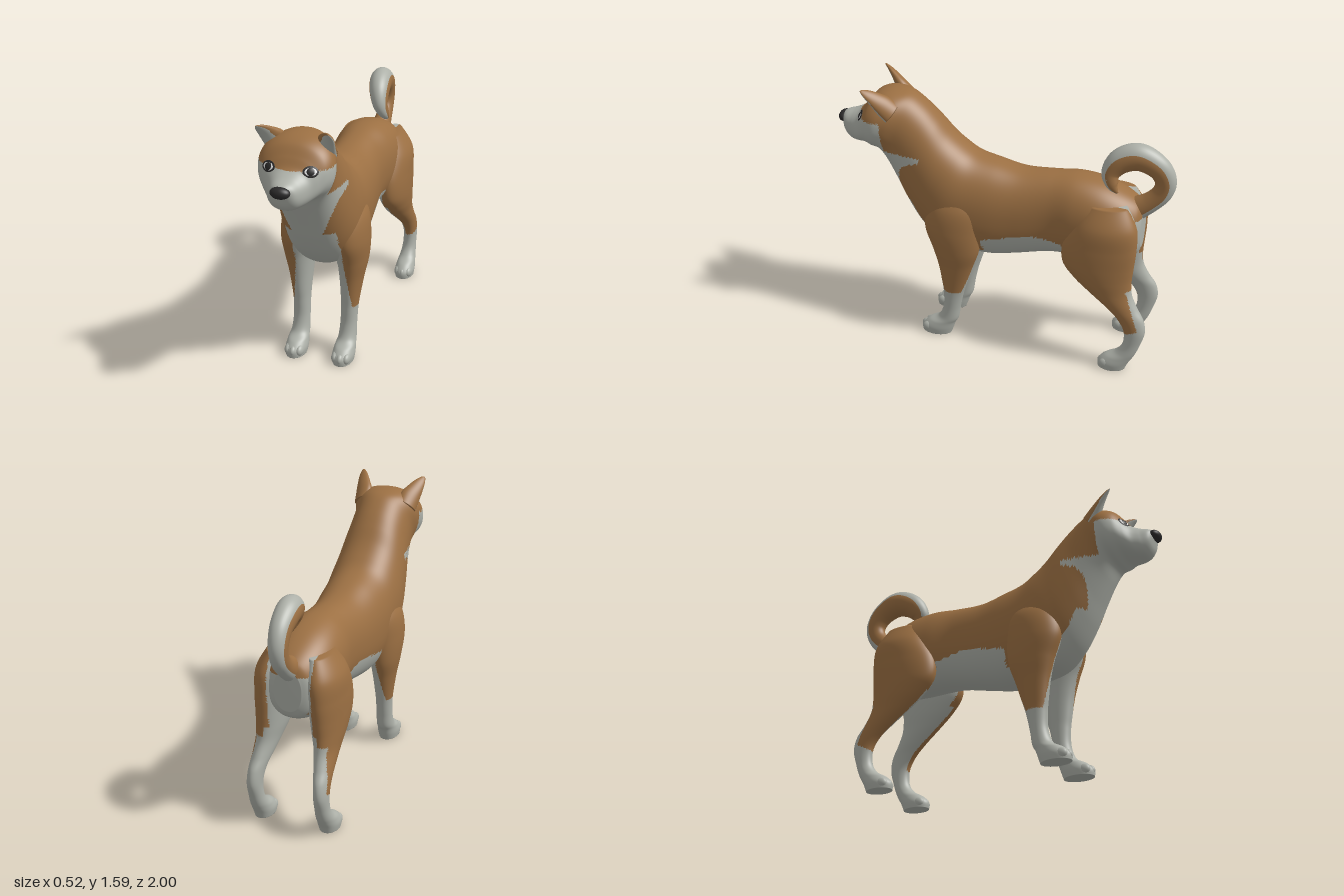
import * as THREE from 'three';

const mat = (name, color) => Object.assign(new THREE.MeshStandardMaterial({ color }), { name });
const V = (x, y, z) => new THREE.Vector3(x, y, z);

// Catmull-Rom interpolation of every column of a table of sections
function rowAt(rows, t) {
  const f = t * (rows.length - 1), i = Math.min(Math.floor(f), rows.length - 2), k = f - i;
  const r = (j) => rows[Math.max(0, Math.min(rows.length - 1, j))];
  return rows[i].map((_, q) => {
    const a = r(i - 1)[q], b = r(i)[q], c = r(i + 1)[q], d = r(i + 2)[q];
    return b + 0.5 * k * (c - a + k * (2 * a - 5 * b + 4 * c - d + k * (3 * (b - c) + d - a)));
  });
}

// Closed skin over cross-sections; frame(row, t) gives centre and two half axes,
// paint(point, normal) gives the material index of each face
function loft(name, rows, frame, n, m, mats, paint, full = 1) {
  const pos = [], tris = [];
  const bend = (x) => Math.sign(x) * Math.abs(x) ** full;
  for (let i = 0; i <= n; i++) {
    const [c, u, v] = frame(rowAt(rows, i / n), i / n);
    for (let j = 0; j < m; j++) {
      const a = (j / m) * Math.PI * 2;
      pos.push(c.clone().addScaledVector(u, bend(Math.cos(a))).addScaledVector(v, bend(Math.sin(a))));
    }
  }
  for (let i = 0; i < n; i++) for (let j = 0; j < m; j++) {
    const a = i * m + j, b = i * m + (j + 1) % m;
    tris.push([a, b, a + m], [b, b + m, a + m]);
  }
  for (const i of [0, n]) {
    const mid = V(0, 0, 0), c = pos.length;
    for (let j = 0; j < m; j++) mid.addScaledVector(pos[i * m + j], 1 / m);
    pos.push(mid);
    for (let j = 0; j < m; j++) {
      const a = i * m + j, b = i * m + (j + 1) % m;
      tris.push(i ? [a, b, c] : [b, a, c]);
    }
  }
  // turn the skin outwards if the axes were left-handed
  let volume = 0;
  for (const [a, b, c] of tris) volume += pos[a].dot(pos[b].clone().cross(pos[c]));
  const sets = mats.map(() => []);
  for (const [a, b, c] of tris) {
    const f = volume < 0 ? [a, c, b] : [a, b, c];
    const [p, q, r] = f.map((k) => pos[k]);
    const normal = q.clone().sub(p).cross(r.clone().sub(p)).normalize();
    sets[paint(p.clone().add(q).add(r).divideScalar(3), normal)].push(...f);
  }
  const g = new THREE.BufferGeometry().setFromPoints(pos);
  g.setIndex(sets.flat());
  let start = 0;
  sets.forEach((s, k) => { g.addGroup(start, s.length, k); start += s.length; });
  g.computeVertexNormals();
  const mesh = new THREE.Mesh(g, mats);
  mesh.name = name;
  return mesh;
}

export function createModel() {
  const dog = new THREE.Group();
  dog.name = 'dog';
  const tan = mat('tan coat', 0x9c7043), pale = mat('pale coat', 0xaeb1a9);
  const dark = mat('dark nose and eyes', 0x2b2a2a), white = mat('eye white', 0xf2f2f2);
  const coat = [tan, pale];

  // Torso, neck and head: top z, top y, bottom z, bottom y, half width
  const spine = [
    [-0.83, 0.98, -0.83, 0.74, 0.08], [-0.8, 1.03, -0.8, 0.69, 0.13], [-0.71, 1.085, -0.71, 0.65, 0.18],
    [-0.59, 1.13, -0.58, 0.64, 0.2], [-0.45, 1.15, -0.45, 0.64, 0.195], [-0.3, 1.14, -0.3, 0.63, 0.175],
    [-0.12, 1.13, -0.12, 0.59, 0.19], [0.04, 1.16, 0.04, 0.56, 0.21], [0.16, 1.19, 0.2, 0.57, 0.22],
    [0.24, 1.24, 0.36, 0.61, 0.225], [0.31, 1.3, 0.47, 0.71, 0.215], [0.38, 1.38, 0.555, 0.84, 0.2],
    [0.45, 1.45, 0.62, 0.97, 0.185], [0.53, 1.51, 0.68, 1.09, 0.18], [0.6, 1.53, 0.72, 1.165, 0.2],
    [0.68, 1.53, 0.76, 1.185, 0.212], [0.75, 1.505, 0.8, 1.2, 0.193], [0.8, 1.45, 0.84, 1.195, 0.158],
    [0.84, 1.4, 0.88, 1.19, 0.122], [0.89, 1.375, 0.92, 1.2, 0.095], [0.94, 1.36, 0.95, 1.235, 0.07],
    [0.97, 1.345, 0.965, 1.285, 0.035],
  ];
  const body = loft('body', spine, ([zt, yt, zb, yb, w]) => [
    V(0, (yt + yb) / 2, (zt + zb) / 2), V(w, 0, 0), V(0, (yt - yb) / 2, (zt - zb) / 2),
  ], 190, 88, coat, ({ x, y, z }, n) => {
    const a = Math.abs(x);
    const face = z > 0.675 && y < 1.392;
    const throat = z > 0.45 && y > 0.9 && y < 1.2 && n.z > -0.2 && a < 0.09 + (y - 0.9) * 0.4;
    const chest = z > 0.08 && y < 0.9 && a < 0.148 && (n.z > 0.1 || n.y < -0.3);
    const belly = z < 0.08 && z > -0.4 && y < 0.755 + 0.03 * Math.sin(z * 9 + 3.5);
    const rear = (z < -0.79 && y < 0.95 && a < 0.12) || (z < -0.38 && y < 0.72 && a < 0.15);
    return face || throat || chest || belly || rear ? 1 : 0;
  }, 0.9);
  dog.add(body);

  // Nose
  const ball = new THREE.SphereGeometry(1, 32, 20);
  const nose = new THREE.Mesh(ball, dark);
  nose.name = 'nose';
  nose.position.set(0, 1.318, 0.964);
  nose.scale.set(0.055, 0.033, 0.036);
  dog.add(nose);

  // Leg sections: y, centre x, centre z, half width, half depth
  const front = [
    [1.02, 0.12, 0.24, 0.05, 0.1], [0.9, 0.14, 0.25, 0.1, 0.16], [0.76, 0.155, 0.26, 0.103, 0.17],
    [0.62, 0.16, 0.245, 0.088, 0.14], [0.5, 0.155, 0.25, 0.07, 0.105], [0.38, 0.15, 0.26, 0.056, 0.078],
    [0.3, 0.147, 0.268, 0.05, 0.062], [0.2, 0.145, 0.28, 0.049, 0.053], [0.12, 0.145, 0.302, 0.053, 0.062],
    [0.08, 0.145, 0.345, 0.06, 0.085], [0.04, 0.145, 0.372, 0.065, 0.098], [0, 0.145, 0.38, 0.06, 0.092],
  ];
  const hind = [
    [1.04, 0.12, -0.64, 0.06, 0.12], [0.92, 0.145, -0.64, 0.1, 0.18], [0.79, 0.157, -0.615, 0.1, 0.212],
    [0.67, 0.163, -0.61, 0.094, 0.208], [0.58, 0.168, -0.64, 0.083, 0.172], [0.5, 0.175, -0.69, 0.067, 0.13],
    [0.42, 0.185, -0.76, 0.055, 0.097], [0.35, 0.195, -0.82, 0.046, 0.08], [0.27, 0.2, -0.85, 0.042, 0.063],
    [0.18, 0.2, -0.838, 0.042, 0.051], [0.12, 0.2, -0.808, 0.048, 0.06], [0.08, 0.2, -0.765, 0.056, 0.083],
    [0.04, 0.2, -0.735, 0.062, 0.09], [0, 0.2, -0.727, 0.057, 0.082],
  ];
  const paintFront = ({ x, y }) => (y < 0.32 || Math.abs(x) < (y > 0.6 ? 0.145 : 0.145 + (0.6 - y) * 0.12) ? 1 : 0);
  const paintHind = ({ x, y, z }) => {
    const inner = Math.abs(x) < (y > 0.6 ? 0.13 : 0.155 + (0.6 - y) * 0.08);
    const hock = y < 0.54 && z < -0.78 - (0.55 - y) * 0.36;
    return inner || hock || y < 0.25 + (-0.78 - z) * 0.5 ? 1 : 0;
  };

  for (const s of [1, -1]) {
    const side = s > 0 ? 'left' : 'right';
    const legFrame = ([y, x, z, rx, rz]) => [V(s * x, y, z), V(rx, 0, 0), V(0, 0, rz)];
    dog.add(loft(side + 'FrontLeg', front, legFrame, 110, 56, coat, paintFront));
    dog.add(loft(side + 'HindLeg', hind, legFrame, 120, 56, coat, paintHind));

    // Toes
    for (const [x, z] of [[0.145, 0.435], [0.2, -0.685]]) for (const k of [-1, 0, 1]) {
      const toe = new THREE.Mesh(ball, pale);
      toe.name = side + 'Toe';
      toe.position.set(s * x + k * 0.034, 0.034, z - Math.abs(k) * 0.014);
      toe.scale.set(0.024, 0.034, 0.042);
      dog.add(toe);
    }

    // Ear: centre x, y, z, half width, half thickness, leaning forward
    const ear = [
      [0.14, 1.44, 0.62, 0.06, 0.05], [0.15, 1.49, 0.665, 0.058, 0.04], [0.168, 1.53, 0.705, 0.045, 0.026],
      [0.184, 1.562, 0.742, 0.03, 0.015], [0.194, 1.58, 0.768, 0.014, 0.007], [0.197, 1.586, 0.778, 0.003, 0.002],
    ];
    const facing = V(s * 0.35, -0.5, 0.79);
    dog.add(loft(side + 'Ear', ear, ([x, y, z, w, d]) => [
      V(s * x, y, z), V(s * w * 0.9, -w * 0.4, w * 0.1), V(0, d * 0.72, -d * 0.7),
    ], 40, 40, coat, (p, n) => (n.dot(facing) > 0.45 ? 1 : 0)));

    // Eye: thin discs laid on the face
    const ray = new THREE.Raycaster(V(s * 0.115, 1.39, 2), V(0, 0, -1));
    const hit = ray.intersectObject(body)[0];
    const eye = new THREE.Group();
    eye.name = side + 'Eye';
    eye.position.copy(hit.point);
    eye.lookAt(hit.point.clone().add(hit.face.normal));
    [['lid', dark, 0.042, 0.031, 0.005], ['eyeWhite', white, 0.036, 0.025, 0.007], ['iris', dark, 0.026, 0.023, 0.0095]]
      .forEach(([name, m, w, h, d]) => {
        const disc = new THREE.Mesh(ball, m);
        disc.name = name;
        disc.scale.set(w, h, d);
        eye.add(disc);
      });
    dog.add(eye);
  }

  // Curled tail: centre x, y, z, radius
  const tail = [
    [0, 0.97, -0.77, 0.075], [0, 1.03, -0.86, 0.06], [-0.005, 1.1, -0.925, 0.058], [-0.005, 1.18, -0.938, 0.062],
    [0, 1.26, -0.89, 0.07], [0.005, 1.308, -0.785, 0.08], [0.02, 1.28, -0.69, 0.074], [0.04, 1.21, -0.638, 0.056],
    [0.065, 1.145, -0.652, 0.036], [0.08, 1.105, -0.685, 0.008],
  ];
  const hub = V(0.01, 1.17, -0.78);
  dog.add(loft('tail', tail, ([x, y, z, r], t) => {
    const a = rowAt(tail, Math.max(0, t - 0.01)), b = rowAt(tail, Math.min(1, t + 0.01));
    const dir = V(0, b[1] - a[1], b[2] - a[2]).normalize();
    return [V(x, y, z), V(r * 0.85, 0, 0), V(0, -dir.z, dir.y).multiplyScalar(r)];
  }, 110, 40, coat, (p, n) => (n.dot(p.clone().sub(hub).setX(0).normalize()) > 0.35 ? 1 : 0)));

  return dog;
}
